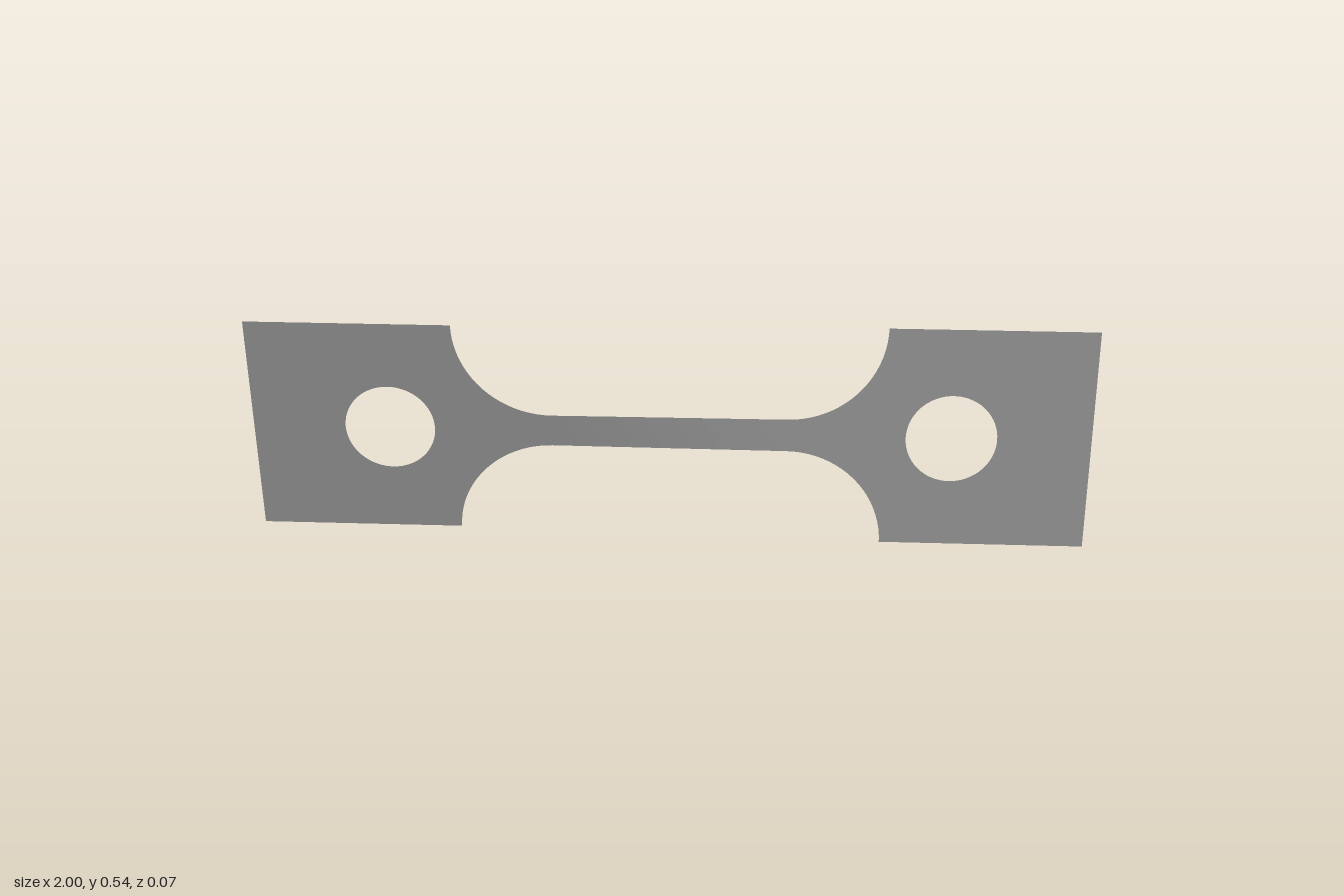
import * as THREE from 'three';

const HALF = 0.271;       // half height of the grip ends
const NECK = 0.04;        // half height of the narrow bar
const BAR = 0.28;         // half length of the straight bar
const R = HALF - NECK;    // fillet radius
const TWIST = THREE.MathUtils.degToRad(7);

// Rotate every vertex about the long axis, more towards +x
function twist(geometry) {
  const p = geometry.attributes.position;
  for (let i = 0; i < p.count; i++) {
    const t = THREE.MathUtils.clamp((p.getX(i) + BAR) / (2 * BAR), 0, 1);
    const a = t * TWIST, y = p.getY(i);
    p.setXYZ(i, p.getX(i), HALF + y * Math.cos(a), -y * Math.sin(a));
  }
  geometry.computeVertexNormals();
  return geometry;
}

// Flat grip plate with a round hole
function gripGeometry(side) {
  const inner = side * (BAR + R), outer = side;
  const x0 = Math.min(inner, outer), x1 = Math.max(inner, outer);
  const shape = new THREE.Shape([
    new THREE.Vector2(x0, -HALF), new THREE.Vector2(x1, -HALF),
    new THREE.Vector2(x1, HALF), new THREE.Vector2(x0, HALF),
  ]);
  const hole = new THREE.Path();
  hole.absarc(side * 0.67, 0, 0.108, 0, Math.PI * 2, true);
  shape.holes.push(hole);
  return twist(new THREE.ShapeGeometry(shape, 32));
}

// Narrow bar and its fillets, as columns running from -x to +x
function neckGeometry() {
  const half = [];
  for (let i = 0; i <= 20; i++) {
    const a = (i / 20) * Math.PI / 2;
    half.push([BAR + R * Math.sin(a), HALF - R * Math.cos(a)]);
  }
  const columns = half.map(([x, h]) => [-x, h]).reverse();
  for (let i = 1; i < 16; i++) columns.push([-BAR + 2 * BAR * i / 16, NECK]);
  columns.push(...half);

  const rows = 4, points = [], index = [];
  columns.forEach(([x, h], c) => {
    for (let r = 0; r <= rows; r++) points.push(x, h * (2 * r / rows - 1), 0);
    if (c === 0) return;
    for (let r = 0; r < rows; r++) {
      const b = c * (rows + 1) + r, a = b - rows - 1;
      index.push(a, b, b + 1, a, b + 1, a + 1);
    }
  });
  const g = new THREE.BufferGeometry();
  g.setAttribute('position', new THREE.Float32BufferAttribute(points, 3));
  g.setIndex(index);
  return twist(g);
}

export function createModel() {
  const model = new THREE.Group();
  model.name = 'twistedTestStrip';
  const metal = new THREE.MeshStandardMaterial({ color: 0xa0a0a0, side: THREE.DoubleSide });
  metal.name = 'grey metal';

  const add = (name, geometry) => {
    const mesh = new THREE.Mesh(geometry, metal);
    mesh.name = name;
    model.add(mesh);
  };
  add('rightGrip', gripGeometry(-1));
  add('leftGrip', gripGeometry(1));
  add('neck', neckGeometry());
  return model;
}
